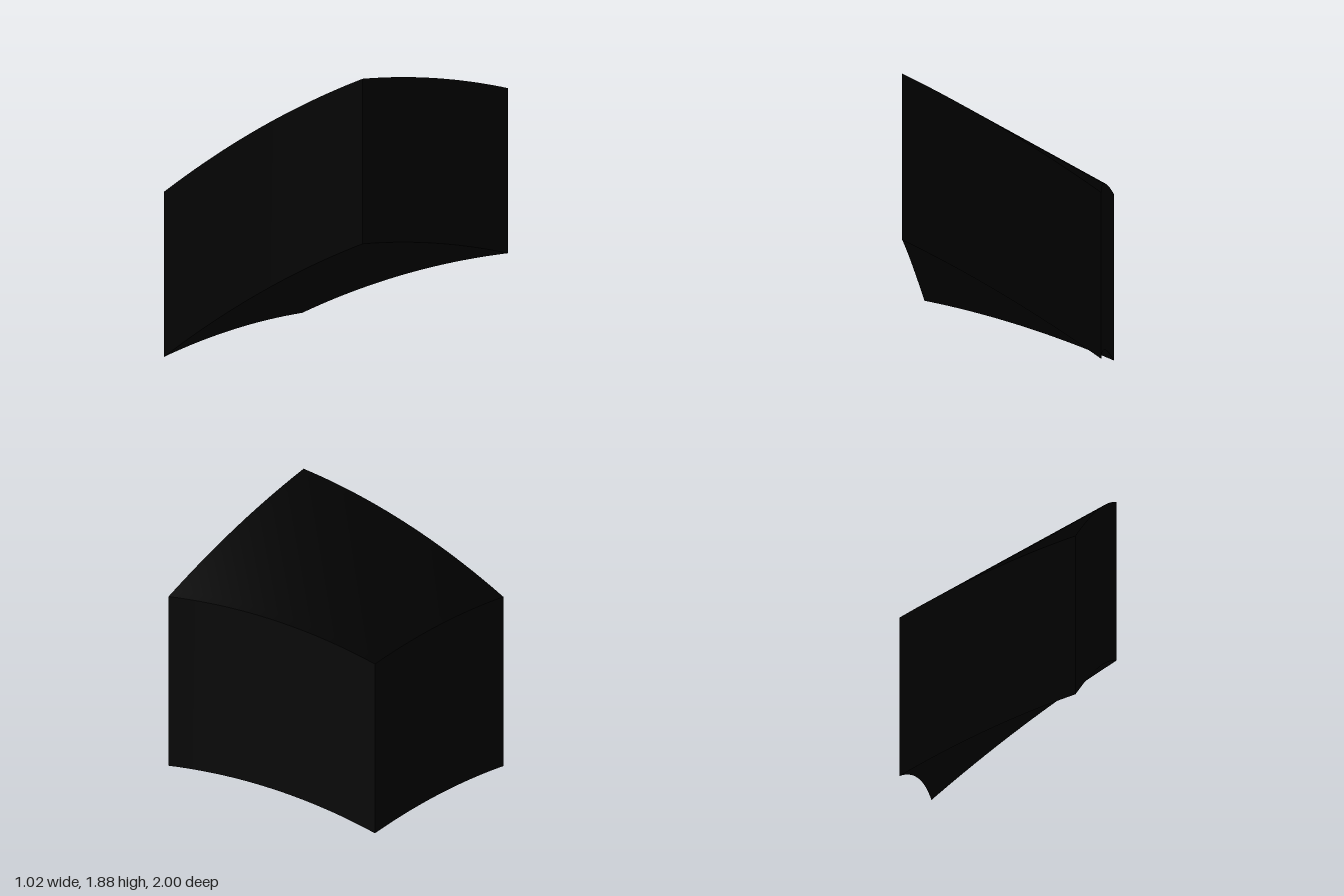
import * as THREE from 'three';

// Curved top surface height and depth, u runs left to right in x, v back to front
const mix = THREE.MathUtils.lerp;
const bulge = (t) => 4 * t * (1 - t);

function panelPoint(u, v, h) {
  const x = mix(-0.51, 0.51, u);
  const z = mix(mix(-0.36, -1, u), mix(1, 0.43, u), v) + 0.02 * bulge(u);
  const y = mix(mix(0, 0.40, u), mix(0.11, 0.86, u), v)
    + 0.057 * bulge(u) + 0.033 * bulge(v) + 1.02 * h;
  return [x, y, z];
}

export function createModel() {
  const group = new THREE.Group();
  group.name = 'curvedBlock';

  // Thick skewed panel: a box bent over a doubly curved surface, with vertical sides
  const geometry = new THREE.BoxGeometry(1, 1, 1, 24, 1, 24);
  const pos = geometry.attributes.position;
  for (let i = 0; i < pos.count; i++) {
    pos.setXYZ(i, ...panelPoint(pos.getX(i) + 0.5, pos.getZ(i) + 0.5, pos.getY(i) + 0.5));
  }
  geometry.computeVertexNormals();

  const panel = new THREE.Mesh(geometry, new THREE.MeshStandardMaterial({ color: 0x000000 }));
  panel.name = 'curvedPanel';
  group.add(panel);
  return group;
}
